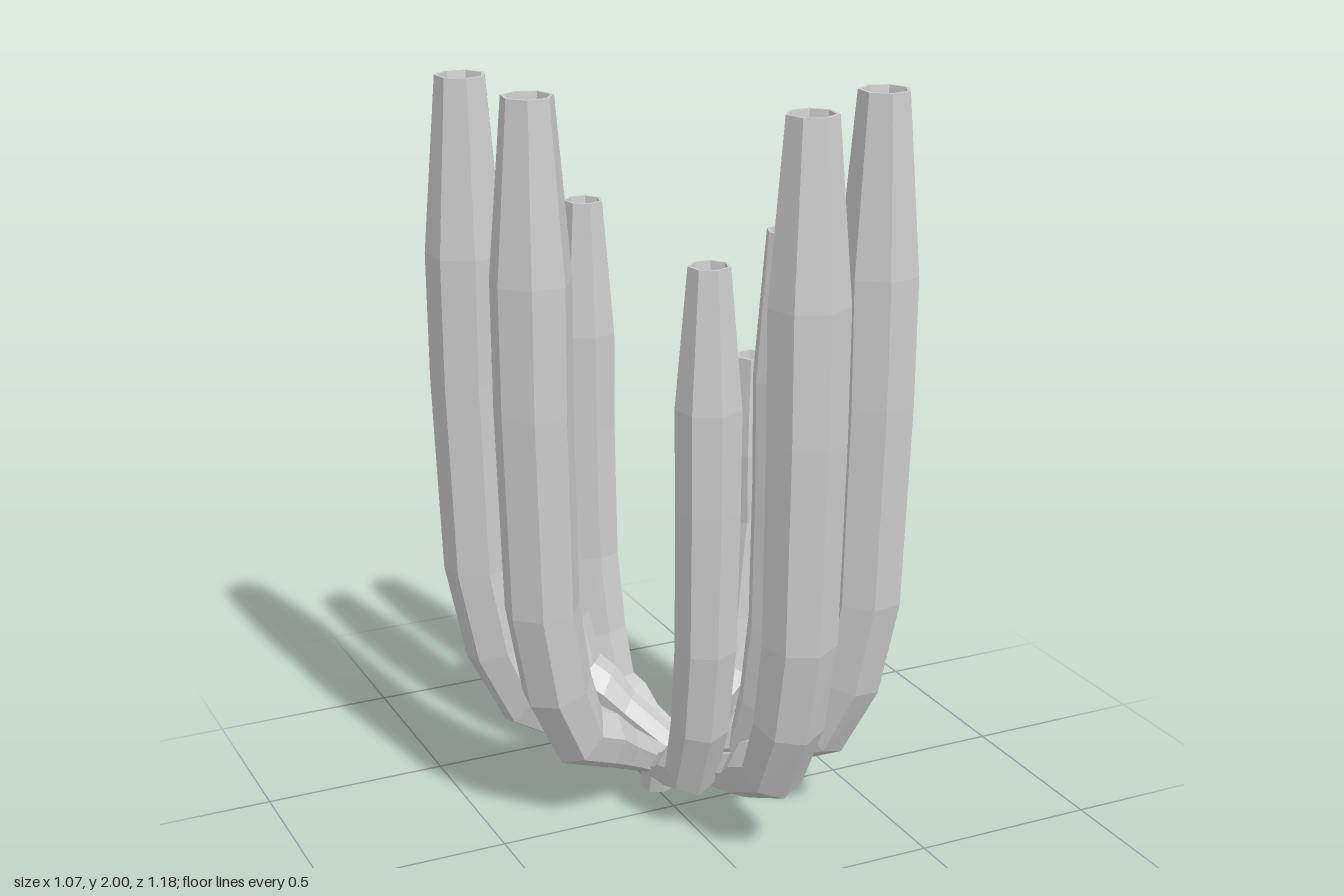
import * as THREE from 'three';

const SIDES = 7;

// Loft seven-sided rings along a path lying in the vertical plane through root and tip.
// Each row is [distance from root, height, radius, tilt from vertical].
function loftArm(root, tip, rows) {
  const d = new THREE.Vector3(tip[0] - root[0], 0, tip[1] - root[1]).normalize();
  const side = new THREE.Vector3(d.z, 0, -d.x);
  const positions = [];
  const index = [];
  for (const [p, y, r, tilt] of rows) {
    const out = d.clone().multiplyScalar(Math.cos(tilt));
    out.y = -Math.sin(tilt);
    for (let j = 0; j < SIDES; j++) {
      const a = (j / SIDES) * Math.PI * 2;
      const v = new THREE.Vector3(root[0], y, root[1])
        .addScaledVector(d, p)
        .addScaledVector(out, r * Math.cos(a))
        .addScaledVector(side, r * Math.sin(a));
      positions.push(v.x, Math.max(0, v.y), v.z);
    }
  }
  for (let i = 0; i < rows.length - 1; i++) {
    for (let j = 0; j < SIDES; j++) {
      const k = (j + 1) % SIDES;
      const a = i * SIDES + j, b = i * SIDES + k;
      // skip the collapsed triangle at closed ends
      if (rows[i][2] > 0) index.push(a, b, b + SIDES);
      if (rows[i + 1][2] > 0) index.push(a, b + SIDES, a + SIDES);
    }
  }
  const g = new THREE.BufferGeometry();
  g.setAttribute('position', new THREE.Float32BufferAttribute(positions, 3));
  g.setIndex(index);
  g.computeVertexNormals();
  return g;
}

// Root stub, sagging neck, swollen elbow, upright column and hollow tip
function armRows(length, height, s, lift) {
  const L = length, rim = 0.067 * s;
  return [
    [0, 0, 0, 0],
    [0, 0, 0.045, 0],
    [0.02, 0.07, 0.045, 0.6],
    [L - 0.29 * s, 0.17 * lift, 0.066 * s, 1.25],
    [L - 0.22 * s, 0.22 * lift, 0.086 * s, 1.3],
    [L - 0.13 * s, 0.26 * lift, 0.09 * s, 0.85],
    [L - 0.06 * s, 0.42 * (0.4 + 0.6 * lift), 0.096 * s, 0.32],
    [L - 0.015 * s, 0.66 * (0.6 + 0.4 * lift), 0.1 * s, 0.06],
    [L, height * 0.6, 0.104 * s, 0],
    [L, height * 0.77, 0.106 * s, 0],
    [L, height, rim, 0],
    [L, height, rim * 0.86, 0],
    [L, height - 0.03, rim * 0.8, 0],
    [L, height - 0.03, 0, 0],
  ];
}

// root [x, z], tip [x, z], height, thickness, elbow lift
const ARMS = [
  [[0.03, -0.16], [-0.435, -0.335], 2.0, 1, 1.05],
  [[0.05, -0.14], [-0.39, 0.0], 2.0, 1, 1],
  [[0.11, -0.15], [-0.21, -0.4], 1.66, 0.82, 1.1],
  [[0.12, -0.15], [-0.03, -0.51], 1.6, 0.8, 0.7],
  [[0.1, -0.14], [0.38, -0.285], 1.17, 0.8, 0.95],
  [[0.1, -0.13], [0.365, 0.06], 1.48, 0.8, 0.7],
  [[0.11, -0.13], [0.43, 0.295], 2.0, 1, 1],
  [[0.01, -0.13], [-0.01, 0.225], 1.59, 0.82, 0.65],
  [[0.09, -0.12], [0.2, 0.235], 1.66, 0.82, 0.8],
  [[0.08, -0.13], [0.125, 0.485], 2.0, 0.98, 1],
];

export function createModel() {
  const model = new THREE.Group();
  model.name = 'cactus';
  const material = new THREE.MeshStandardMaterial({ color: 0xcccccc, flatShading: true });
  ARMS.forEach(([root, tip, height, s, lift], i) => {
    const length = Math.hypot(tip[0] - root[0], tip[1] - root[1]);
    const arm = new THREE.Mesh(loftArm(root, tip, armRows(length, height, s, lift)), material);
    arm.name = `cactusArm${i + 1}`;
    model.add(arm);
  });
  return model;
}
